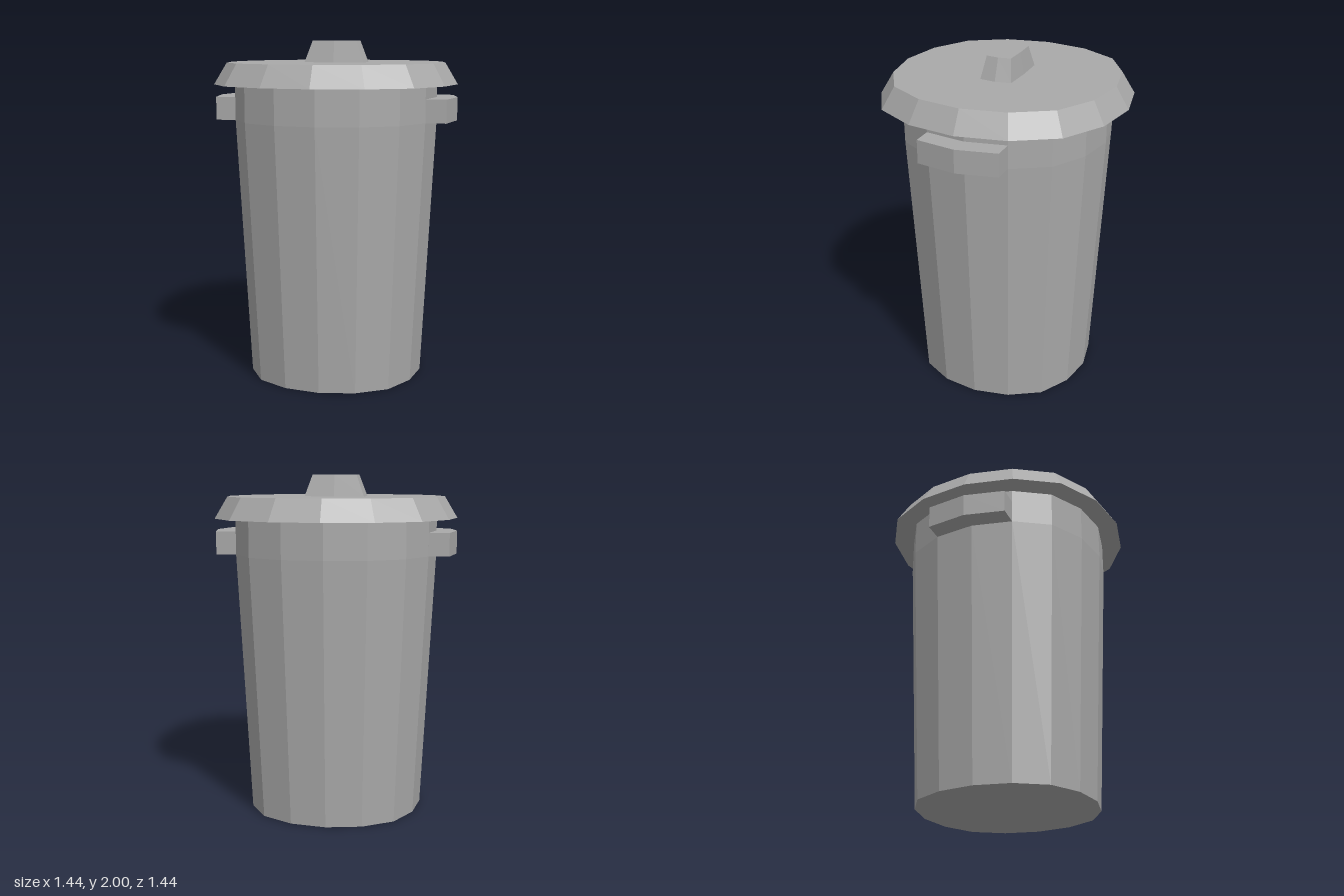
import * as THREE from 'three';

// Closed solid lofted through rings of [x, z] outlines at given heights
// (outlines run from +x towards +z); unshared corners keep the facets flat.
function loft(levels) {
  const rings = levels.map(({ y, outline }) => outline.map(([x, z]) => [x, y, z]));
  const n = rings[0].length;
  const pos = [];
  const tri = (...pts) => pts.forEach((p) => pos.push(...p));
  const centre = (ring) => [0, 1, 2].map((k) => ring.reduce((s, p) => s + p[k], 0) / n);
  const bottom = rings[0];
  const top = rings[rings.length - 1];
  const cb = centre(bottom);
  const ct = centre(top);
  for (let i = 0; i < n; i++) {
    const j = (i + 1) % n;
    for (let r = 0; r < rings.length - 1; r++) {
      const lo = rings[r];
      const hi = rings[r + 1];
      tri(lo[i], hi[i], hi[j]);
      tri(lo[i], hi[j], lo[j]);
    }
    tri(cb, bottom[i], bottom[j]);
    tri(ct, top[j], top[i]);
  }
  const geo = new THREE.BufferGeometry();
  geo.setAttribute('position', new THREE.Float32BufferAttribute(pos, 3));
  geo.computeVertexNormals();
  return geo;
}

// Sixteen-sided, slightly squared outline; r is the radius along the axes.
function roundOutline(r) {
  const quarter = [[1, 0], [0.932, 0.396], [0.735, 0.735], [0.396, 0.932]];
  const pts = [];
  for (let q = 0; q < 4; q++) {
    for (const [x, z] of quarter) {
      const [px, pz] = [[x, z], [-z, x], [-x, -z], [z, -x]][q];
      pts.push([px * r, pz * r]);
    }
  }
  return pts;
}

// Bowed rectangle for the lid grip.
function gripOutline(x, z) {
  const cx = x * 0.93;
  const cz = z * 0.94;
  return [[x, 0], [cx, cz], [0, z], [-cx, cz], [-x, 0], [-cx, -cz], [0, -z], [cx, -cz]];
}

export function createModel() {
  const model = new THREE.Group();
  model.name = 'dustbin';
  const grey = new THREE.MeshStandardMaterial({ color: 0xa9a9a9, flatShading: true });
  grey.name = 'grey metal';

  const add = (name, levels) => {
    const mesh = new THREE.Mesh(loft(levels), grey);
    mesh.name = name;
    model.add(mesh);
    return mesh;
  };

  // Tapered bin with a straight collar
  add('body', [
    { y: 0, outline: roundOutline(0.523) },
    { y: 1.54, outline: roundOutline(0.6) },
    { y: 1.76, outline: roundOutline(0.6) },
  ]);

  // Overhanging lid with a sloped rim
  add('lid', [
    { y: 1.75, outline: roundOutline(0.72) },
    { y: 1.875, outline: roundOutline(0.645) },
  ]);

  // Grip on top of the lid
  add('lidGrip', [
    { y: 1.875, outline: gripOutline(0.188, 0.099) },
    { y: 2, outline: gripOutline(0.14, 0.077) },
  ]);

  // Solid side handles that follow the collar facets
  const handle = [
    [0.72, 0], [0.677, 0.237], [0.559, 0.237],
    [0.6, 0], [0.559, -0.237], [0.677, -0.237],
  ];
  for (const [name, turn] of [['leftHandle', 0], ['rightHandle', Math.PI]]) {
    add(name, [{ y: 1.54, outline: handle }, { y: 1.675, outline: handle }]).rotation.y = turn;
  }

  return model;
}
